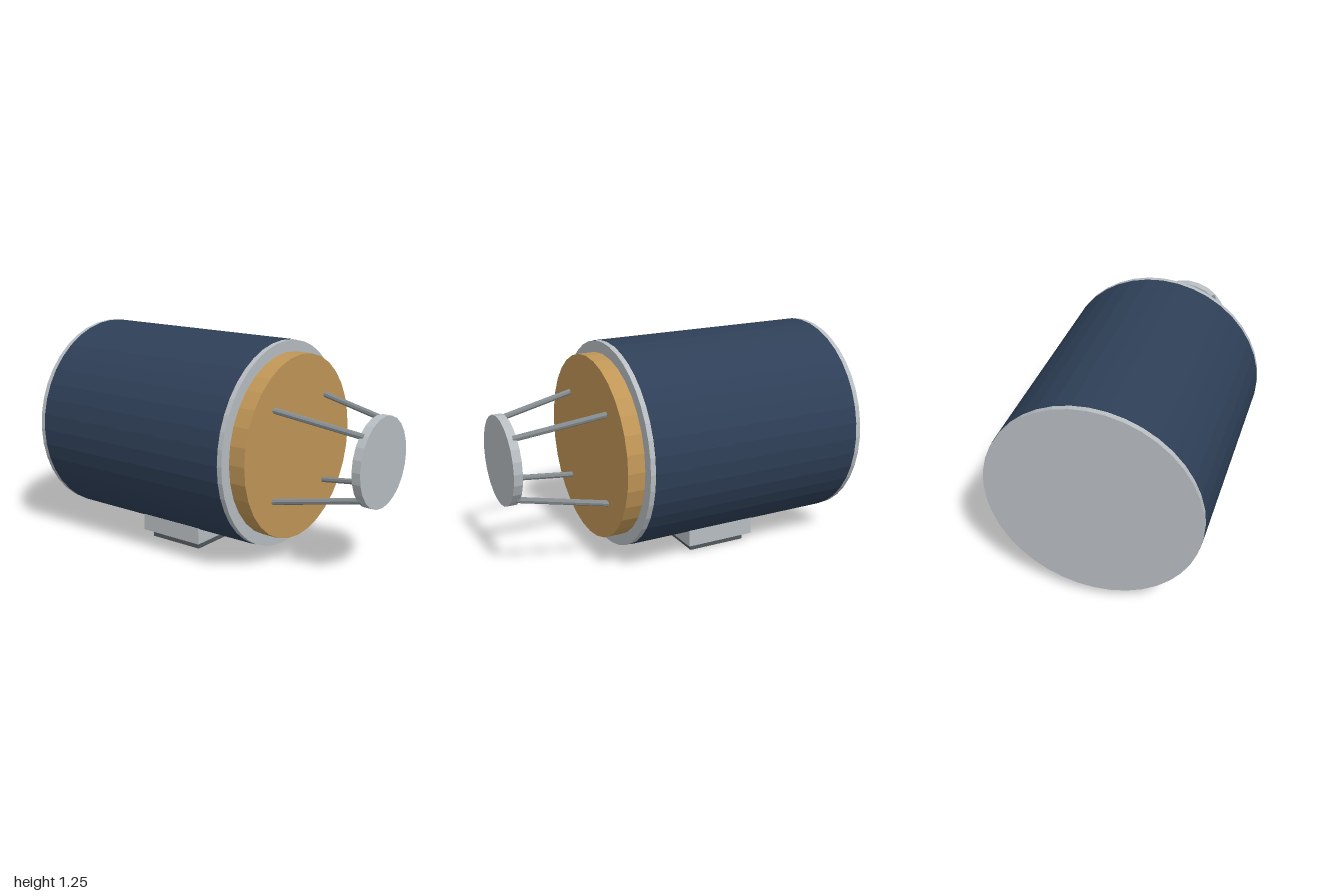
import * as THREE from 'three';

const AXIS_Y = 0.662;

function material(name, color) {
  const m = new THREE.MeshStandardMaterial({ color, flatShading: true });
  m.name = name;
  return m;
}

export function createModel() {
  const model = new THREE.Group();
  const silver = material('silver', 0xb7bdc1);
  const navy = material('navy', 0x2e3f57);
  const gold = material('gold', 0xc09657);
  const steel = material('steel', 0x848b8e);
  const charcoal = material('charcoal', 0x50585c);

  const add = (name, geometry, mat) => {
    const mesh = new THREE.Mesh(geometry, mat);
    mesh.name = name;
    model.add(mesh);
    return mesh;
  };

  // Round part along the z axis, from z0 to z1
  const drum = (name, radius, z0, z1, sides, mat, open = false) => {
    const g = new THREE.CylinderGeometry(radius, radius, z1 - z0, sides, 1, open);
    g.rotateX(Math.PI / 2).translate(0, AXIS_Y, (z0 + z1) / 2);
    return add(name, g, mat);
  };

  // Box given by its half width and its y and z limits
  const slab = (name, halfX, y0, y1, z0, z1, mat) => {
    const g = new THREE.BoxGeometry(halfX * 2, y1 - y0, z1 - z0);
    g.translate(0, (y0 + y1) / 2, (z0 + z1) / 2);
    return add(name, g, mat);
  };

  // Barrel with end rims
  drum('barrel', 0.593, -0.97, 0.34, 40, navy);
  drum('rearCap', 0.591, -1, -0.97, 40, silver);
  drum('frontRim', 0.591, 0.34, 0.37, 40, silver);

  // Front plate and the small disc held ahead of it
  drum('frontPlate', 0.526, 0.37, 0.47, 32, gold);
  drum('frontDisc', 0.254, 0.95, 1, 24, silver);

  // Four slanted struts
  const up = new THREE.Vector3(0, 1, 0);
  for (const sx of [-1, 1]) {
    for (const sy of [-1, 1]) {
      const a = new THREE.Vector3(sx * 0.26, AXIS_Y + sy * 0.26, 0.45);
      const b = new THREE.Vector3(sx * 0.172, AXIS_Y + sy * 0.172, 0.97);
      const d = b.clone().sub(a);
      const strut = add('strut', new THREE.CylinderGeometry(0.017, 0.017, d.length(), 8), steel);
      strut.position.copy(a).add(b).multiplyScalar(0.5);
      strut.quaternion.setFromUnitVectors(up, d.normalize());
    }
  }

  // Mounting saddle and foot
  slab('saddle', 0.294, 0.048, 0.148, -0.455, -0.032, silver);
  slab('foot', 0.249, 0, 0.048, -0.42, -0.066, charcoal);

  return model;
}
